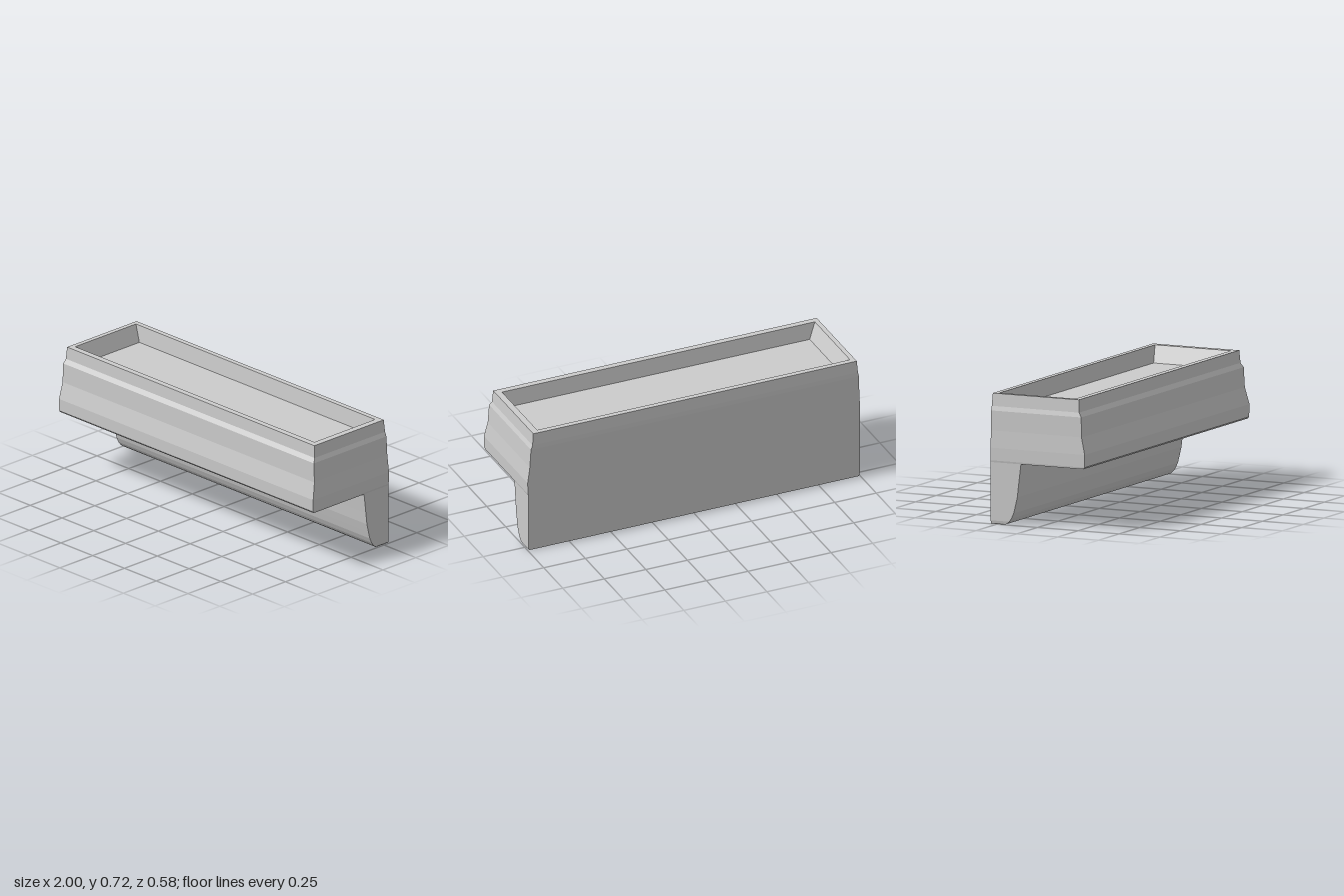
import * as THREE from 'three';

const material = new THREE.MeshStandardMaterial({ color: 0xcccccc, flatShading: true });

// Lofts a stack of rectangular rings [y, front z, back z, left x, right x].
function loft(name, rows, capStart, capEnd) {
  const rings = rows.map(([y, zf, zb, x0, x1]) => [
    new THREE.Vector3(x0, y, zf), new THREE.Vector3(x1, y, zf),
    new THREE.Vector3(x1, y, zb), new THREE.Vector3(x0, y, zb),
  ]);
  const pts = [];
  const tri = (a, b, c) => {
    if (new THREE.Triangle(a, b, c).getArea() > 1e-7) pts.push(a, b, c);
  };
  const quad = (a, b, c, d) => { tri(a, b, c); tri(a, c, d); };
  for (let r = 0; r < rings.length - 1; r++) {
    const lo = rings[r], hi = rings[r + 1];
    for (let i = 0; i < 4; i++) {
      const j = (i + 1) % 4;
      quad(lo[i], lo[j], hi[j], hi[i]);
    }
  }
  if (capStart) quad(...[...rings[0]].reverse());
  if (capEnd) quad(...rings[rings.length - 1]);
  const geometry = new THREE.BufferGeometry().setFromPoints(pts);
  geometry.computeVertexNormals();
  const mesh = new THREE.Mesh(geometry, material);
  mesh.name = name;
  return mesh;
}

export function createModel() {
  const group = new THREE.Group();
  group.name = 'wallTrough';

  // Lower backing slab with a rounded toe
  const slab = [
    [0.003, -0.208, -0.288, -0.99, 0.99],
    [0.008, -0.19, -0.288, -0.995, 0.995],
    [0.022, -0.174, -0.288, -0.998, 0.995],
    [0.04, -0.161, -0.288, -0.998, 0.995],
    [0.07, -0.147, -0.288, -0.998, 0.995],
    [0.11, -0.137, -0.288, -0.998, 0.995],
    [0.16, -0.125, -0.288, -0.998, 0.995],
    [0.23, -0.117, -0.288, -0.998, 0.995],
    [0.345, -0.103, -0.288, -0.998, 0.995],
  ];
  group.add(loft('backSlab', slab, true, false));

  // Overhanging body: underside, stepped front and tapered ends
  const body = [
    [0.345, -0.103, -0.288, -0.998, 0.995],
    [0.345, 0.28, -0.288, -0.998, 0.995],
    [0.355, 0.288, -0.288, -1, 0.998],
    [0.425, 0.289, -0.288, -1, 1],
    [0.52, 0.267, -0.288, -0.995, 0.987],
    [0.63, 0.264, -0.288, -0.993, 0.98],
    [0.655, 0.249, -0.287, -0.987, 0.97],
    [0.725, 0.245, -0.283, -0.982, 0.964],
  ];
  group.add(loft('troughBody', body, false, false));

  // Rim and recessed tray
  const tray = [
    [0.725, 0.245, -0.283, -0.982, 0.964],
    [0.725, 0.21, -0.253, -0.955, 0.927],
    [0.63, 0.197, -0.243, -0.918, 0.89],
  ];
  group.add(loft('rimAndTray', tray, false, true));

  return group;
}
